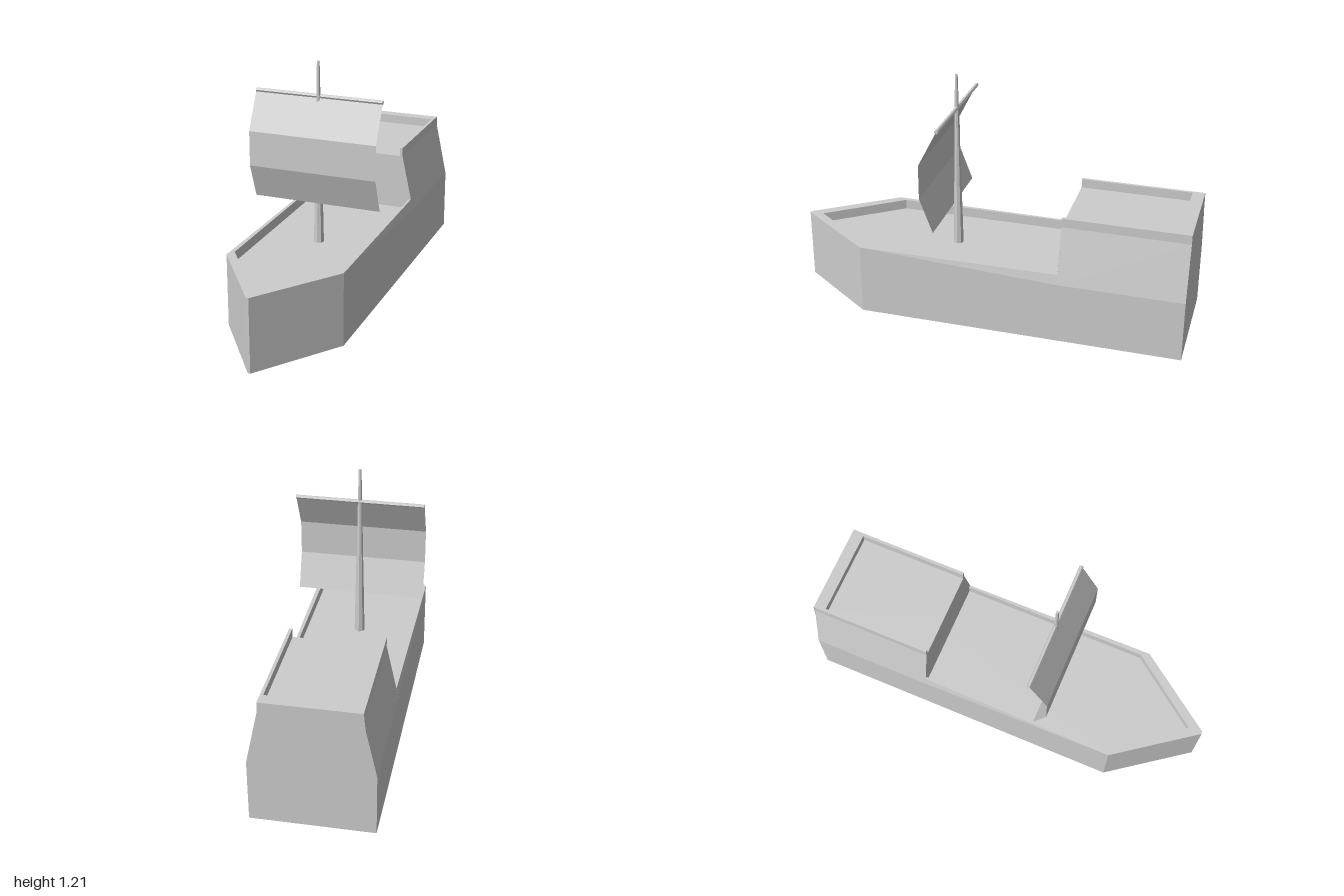
import * as THREE from 'three';

const grey = new THREE.MeshStandardMaterial({ color: 0xcccccc, side: THREE.DoubleSide });
grey.name = 'plainGrey';

// Builds flat convex faces given for the left half (+x) and mirrors them to the right
function halfFaces(name, faces, mirror = true) {
  const pos = [];
  const fan = (f) => {
    for (let i = 1; i < f.length - 1; i++) pos.push(...f[0], ...f[i], ...f[i + 1]);
  };
  for (const f of faces) {
    fan(f);
    if (mirror) fan(f.map(([x, y, z]) => [-x, y, z]).reverse());
  }
  const geo = new THREE.BufferGeometry();
  geo.setAttribute('position', new THREE.Float32BufferAttribute(pos, 3));
  geo.computeVertexNormals();
  const mesh = new THREE.Mesh(geo, grey);
  mesh.name = name;
  return mesh;
}

export function createModel() {
  const ship = new THREE.Group();
  ship.name = 'sailingShip';

  const W = 0.29, S = 0.006;                 // hull and stem half widths
  const back = -1, step = -0.39, bow = 0.61, tip = 1;
  const deck = 0.31, rail = 0.36;            // main deck and rail heights
  const upper = 0.59, top = 0.635;           // castle deck and rail heights
  const C = 0.23, CI = 0.215, railX = 0.28;  // castle outer and inner, rail at the step
  const I = 0.268, inBow = 0.57, inTip = 0.93, inBack = -0.94;

  // Hull: sides, bow, stem and bottom
  ship.add(halfFaces('hull', [
    [[W, 0, step], [W, 0, back], [W, deck, back], [W, deck, step]],
    [[W, 0, bow], [W, 0, step], [W, deck, step], [W, rail, bow]],
    [[W, rail, bow], [W, deck, step], [railX, rail, step]],
    [[S, 0, tip], [W, 0, bow], [W, rail, bow], [S, rail, tip]],
    [[0, 0, tip], [S, 0, tip], [S, rail, tip], [0, rail, tip]],
    [[0, 0, back], [W, 0, back], [W, 0, bow], [S, 0, tip], [0, 0, tip]],
    [[0, 0, back], [0, top, back], [C, top, back], [C, upper, back], [W, deck, back], [W, 0, back]],
  ]));

  // Rail around the main deck: top surface and inner walls
  ship.add(halfFaces('mainRail', [
    [[W, rail, bow], [railX, rail, step], [I, rail, step], [I, rail, inBow]],
    [[S, rail, tip], [W, rail, bow], [I, rail, inBow], [0, rail, inTip], [0, rail, tip]],
    [[I, deck, step], [I, deck, inBow], [I, rail, inBow], [I, rail, step]],
    [[I, deck, inBow], [0, deck, inTip], [0, rail, inTip], [I, rail, inBow]],
  ]));

  ship.add(halfFaces('mainDeck', [
    [[0, deck, inTip], [I, deck, inBow], [I, deck, step], [0, deck, step]],
  ]));

  // Stern castle: leaning sides, front wall and deck
  ship.add(halfFaces('sternCastle', [
    [[W, deck, step], [W, deck, back], [C, upper, back], [C, upper, step]],
    [[0, deck, step], [I, deck, step], [railX, rail, step], [C, upper, step], [0, upper, step]],
    [[CI, upper, step], [CI, upper, inBack], [0, upper, inBack], [0, upper, step]],
  ]));

  // Castle rail, open towards the bow
  ship.add(halfFaces('castleRail', [
    [[C, upper, step], [C, upper, back], [C, top, back], [C, top, step]],
    [[C, top, step], [C, top, back], [CI, top, back], [CI, top, step]],
    [[CI, top, inBack], [CI, top, back], [0, top, back], [0, top, inBack]],
    [[CI, upper, inBack], [CI, upper, step], [CI, top, step], [CI, top, inBack]],
    [[0, upper, inBack], [CI, upper, inBack], [CI, top, inBack], [0, top, inBack]],
    [[CI, upper, step], [C, upper, step], [C, top, step], [CI, top, step]],
  ]));

  // Tapered mast
  const flat = (g) => {
    const n = g.toNonIndexed();
    n.computeVertexNormals();
    return n;
  };
  const mast = new THREE.Mesh(flat(new THREE.CylinderGeometry(0.007, 0.026, 1.207 - deck, 8)), grey);
  mast.name = 'mast';
  mast.position.set(0, (1.207 + deck) / 2, 0.19);
  ship.add(mast);

  // Yard across the mast
  const yard = new THREE.Mesh(flat(new THREE.CylinderGeometry(0.01, 0.01, 0.636, 6)), grey);
  yard.name = 'yard';
  yard.rotation.z = Math.PI / 2;
  yard.position.set(0, 1.038, 0.187);
  ship.add(yard);

  // Square sail in three flat bands, bellied forward
  const profile = [[0.514, 0.215], [0.685, 0.28], [0.857, 0.28], [1.033, 0.19]];
  const H = 0.318;
  const bands = [];
  for (let i = 0; i < 3; i++) {
    const [y0, z0] = profile[i], [y1, z1] = profile[i + 1];
    bands.push([[-H, y0, z0], [H, y0, z0], [H, y1, z1], [-H, y1, z1]]);
  }
  ship.add(halfFaces('sail', bands, false));

  return ship;
}
